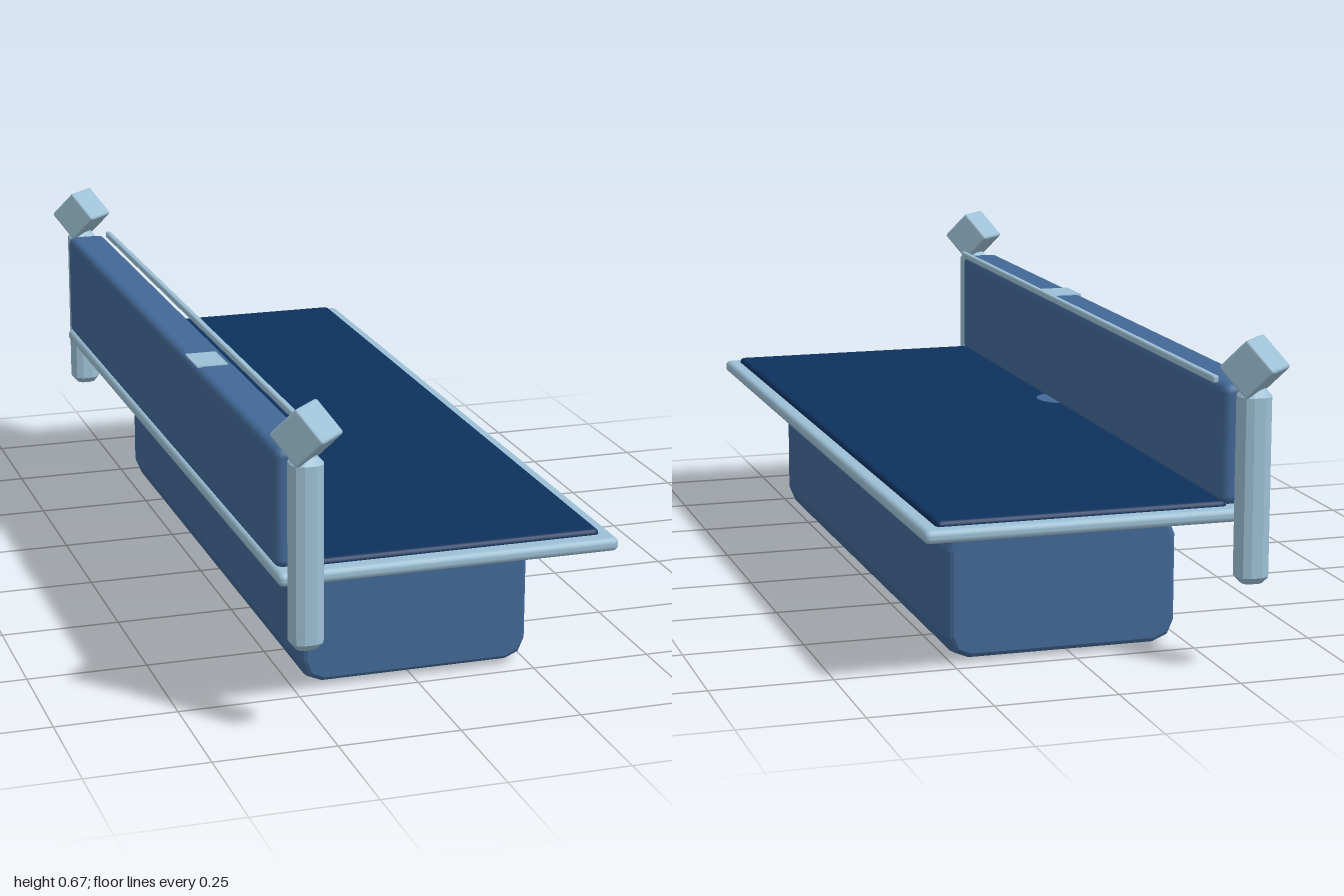
import * as THREE from 'three';
import { RoundedBoxGeometry } from 'three/addons/geometries/RoundedBoxGeometry.js';

const mat = (name, color) => {
  const m = new THREE.MeshStandardMaterial({ color });
  m.name = name;
  return m;
};

export function createModel() {
  const group = new THREE.Group();
  const blue = mat('upholstery blue', 0x426896);
  const navy = mat('seat navy', 0x0e315d);
  const pale = mat('frame pale blue', 0x9dc0d5);

  const add = (name, geometry, material, x = 0, y = 0, z = 0) => {
    const mesh = new THREE.Mesh(geometry, material);
    mesh.name = name;
    mesh.position.set(x, y, z);
    group.add(mesh);
    return mesh;
  };
  // Rounded box given by its minimum and maximum corners
  const block = (name, material, min, max, radius, segments = 2) => {
    const size = max.map((v, i) => v - min[i]);
    const centre = max.map((v, i) => (v + min[i]) / 2);
    return add(name, new RoundedBoxGeometry(...size, segments, radius), material, ...centre);
  };
  // Rectangle with chamfered corners, extruded along its depth with a bevel
  const chamferedPrism = (w, h, corner, depth, bevelSize, bevelThickness, bevelSegments) => {
    const a = w / 2 - bevelSize, b = h / 2 - bevelSize;
    const shape = new THREE.Shape();
    for (const [sx, sy, flip] of [[1, 1, 0], [-1, 1, 1], [-1, -1, 0], [1, -1, 1]]) {
      const c = corner, k = corner * 0.3;
      const pts = [[a, b - c], [a - k, b - k], [a - c, b]];
      if (flip) pts.reverse();
      for (const [x, y] of pts) {
        if (shape.curves.length === 0 && shape.currentPoint.lengthSq() === 0) shape.moveTo(sx * x, sy * y);
        else shape.lineTo(sx * x, sy * y);
      }
    }
    shape.closePath();
    const g = new THREE.ExtrudeGeometry(shape, {
      depth: depth - 2 * bevelThickness, bevelSize, bevelThickness, bevelSegments, curveSegments: 2,
    });
    return g.translate(0, 0, bevelThickness - depth / 2);
  };

  // Base block under the bench
  add('base', chamferedPrism(0.485, 0.272, 0.036, 1.4, 0.013, 0.03, 3), blue, 0.012, 0.138, 0);

  // Frame slab, seat pad and backrest
  block('frame', pale, [-0.34, 0.3, -0.912], [0.36, 0.328, 0.912], 0.012);
  block('seatPad', navy, [-0.262, 0.312, -0.885], [0.33, 0.339, 0.88], 0.01);
  block('backrest', blue, [-0.34, 0.328, -0.885], [-0.25, 0.57, 0.885], 0.018);

  // Thin rail along the top of the backrest
  block('topRail', pale, [-0.252, 0.568, -0.855], [-0.239, 0.583, 0.86], 0.004, 1);

  // Small worn patches
  add('backrestPatch', new THREE.BoxGeometry(0.066, 0.003, 0.1), pale, -0.302, 0.57, 0.262);
  add('seatPatch', new THREE.CylinderGeometry(0.05, 0.05, 0.003, 16, 1, false, 0, Math.PI)
    .scale(0.7, 1, 1), blue, -0.251, 0.339, 0.165);

  // End posts with tilted cube finials
  for (const z of [-0.932, 0.932]) {
    const post = chamferedPrism(0.066, 0.064, 0.012, 0.385, 0.012, 0.014, 1);
    add('post', post.rotateX(-Math.PI / 2), pale, -0.294, 0.3775, z);
    const cap = add('finial', new RoundedBoxGeometry(0.084, 0.084, 0.084, 1, 0.006), pale,
      -0.293, 0.613, Math.sign(z) * 0.934);
    cap.rotation.set(Math.PI / 4, Math.PI / 4, 0, 'YXZ');
  }
  return group;
}
